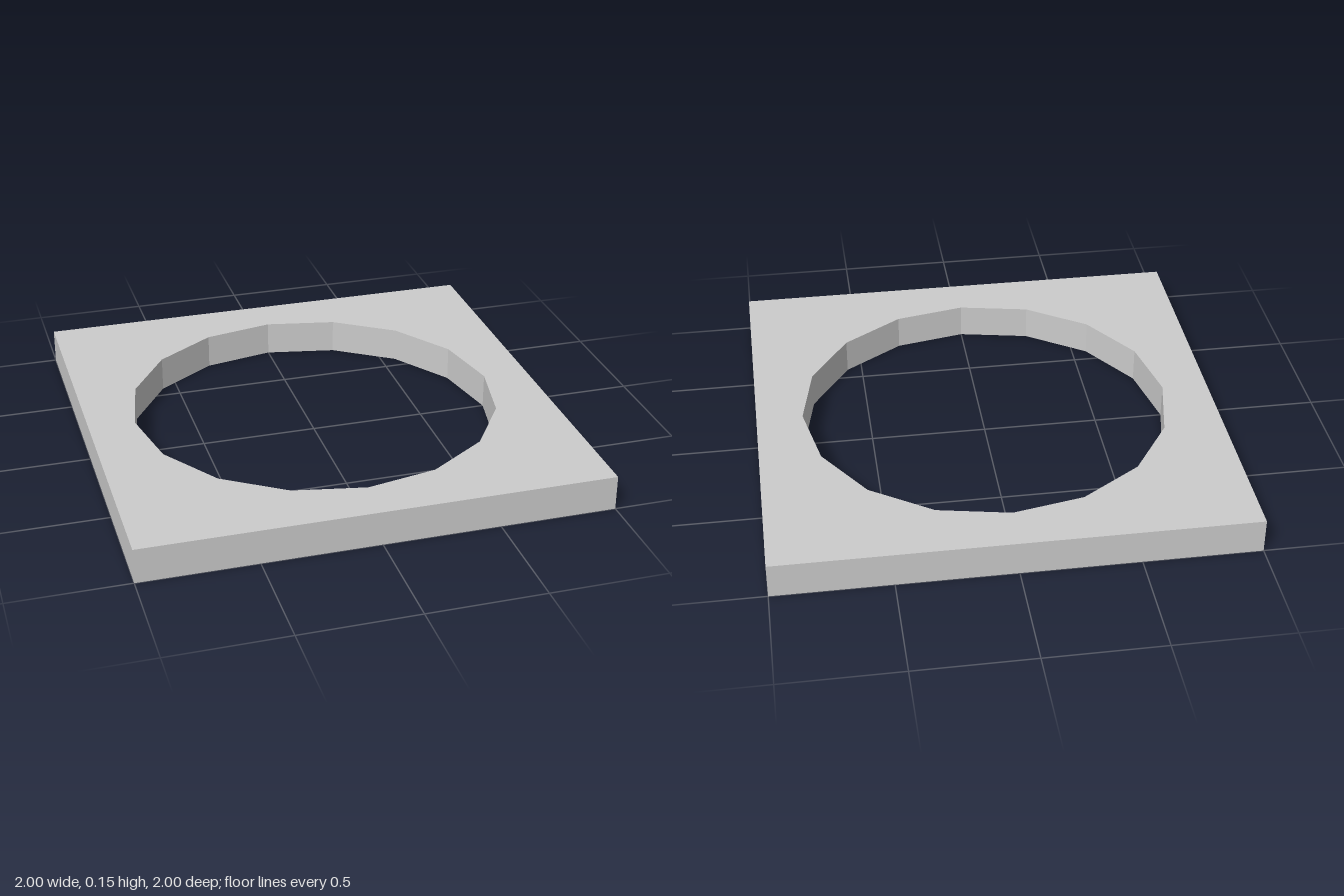
import * as THREE from 'three';

const SIZE = 2, HEIGHT = 0.15, HOLE_RADIUS = 0.8, HOLE_SIDES = 16;

export function createModel() {
  const group = new THREE.Group();
  group.name = 'squareFrame';

  // Square outline
  const h = SIZE / 2;
  const outline = new THREE.Shape([
    new THREE.Vector2(-h, -h),
    new THREE.Vector2(h, -h),
    new THREE.Vector2(h, h),
    new THREE.Vector2(-h, h),
  ]);

  // Sixteen-sided opening with corners on the axes
  const corners = [];
  for (let i = 0; i < HOLE_SIDES; i++) {
    const a = -(i / HOLE_SIDES) * Math.PI * 2;
    corners.push(new THREE.Vector2(Math.cos(a) * HOLE_RADIUS, Math.sin(a) * HOLE_RADIUS));
  }
  outline.holes.push(new THREE.Path(corners));

  // Flat plate lying on the ground
  const geometry = new THREE.ExtrudeGeometry(outline, { depth: HEIGHT, bevelEnabled: false });
  geometry.rotateX(-Math.PI / 2);
  const plate = new THREE.Mesh(
    geometry,
    new THREE.MeshStandardMaterial({ color: 0xcccccc, flatShading: true })
  );
  plate.name = 'framePlate';
  group.add(plate);

  return group;
}
